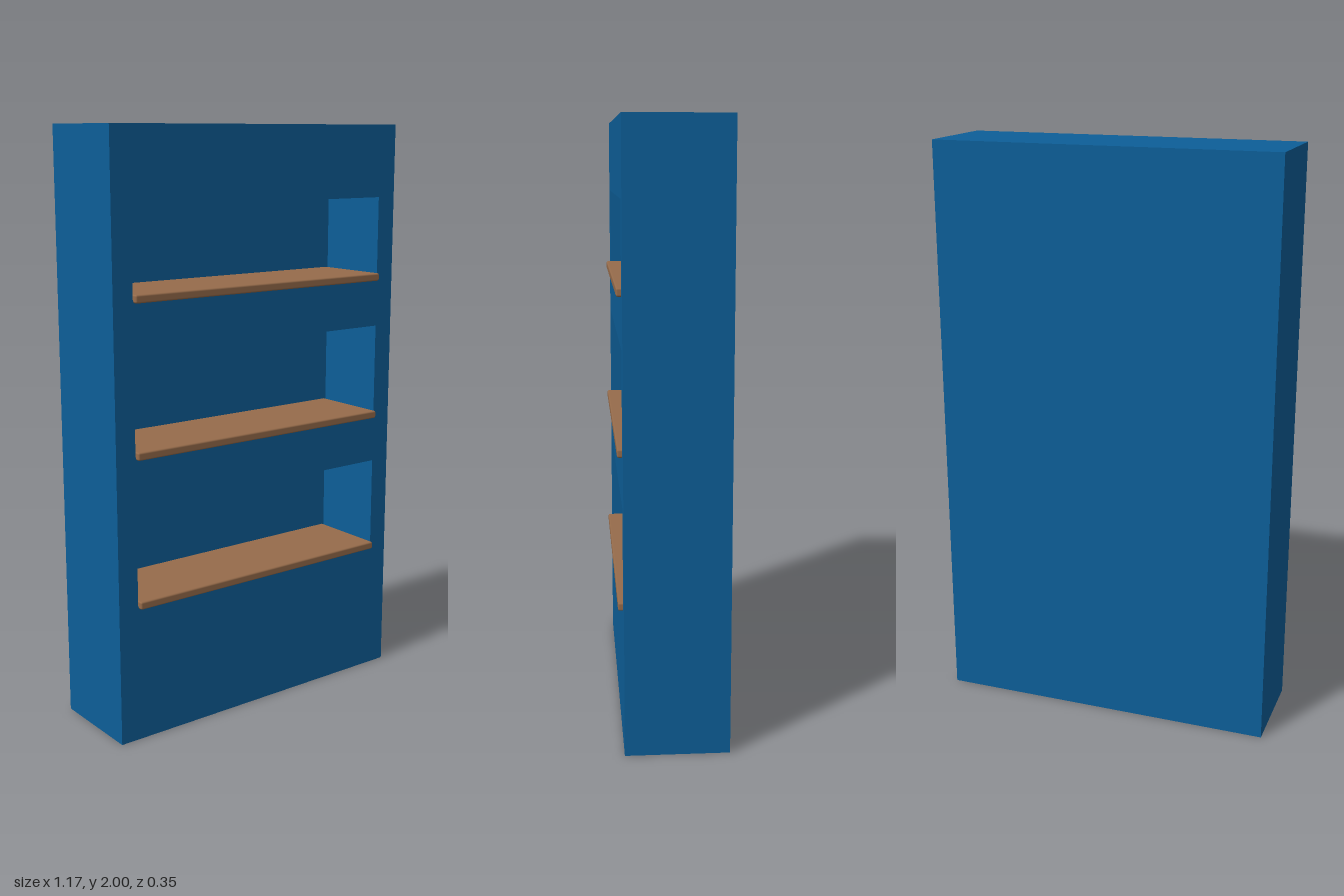
import * as THREE from 'three';
import { mergeGeometries } from 'three/addons/utils/BufferGeometryUtils.js';
import { RoundedBoxGeometry } from 'three/addons/geometries/RoundedBoxGeometry.js';

const W = 1.174, H = 2, BACK = -0.177, FRONT = 0.161;
const NICHE_BACK = -0.104, NICHE_W = 1.03;
// bottom and top of each recess
const NICHES = [[0.47, 0.797], [0.97, 1.297], [1.47, 1.752]];

// Box without its +z face; inward turns it into the lining of a recess
function openBox(w, y0, y1, z0, z1, inward = false) {
  const geo = new THREE.BoxGeometry(w, y1 - y0, z1 - z0);
  geo.translate(0, (y0 + y1) / 2, (z0 + z1) / 2);
  let index = Array.from(geo.index.array).filter((_, i) => i < 24 || i >= 30);
  if (inward) {
    index = index.reverse();
    const n = geo.attributes.normal;
    for (let i = 0; i < n.count; i++) n.setXYZ(i, -n.getX(i), -n.getY(i), -n.getZ(i));
  }
  geo.setIndex(index);
  geo.clearGroups();
  return geo;
}

function rectangle(path, w, y0, y1) {
  path.moveTo(-w / 2, y0);
  path.lineTo(w / 2, y0);
  path.lineTo(w / 2, y1);
  path.lineTo(-w / 2, y1);
  path.closePath();
  return path;
}

export function createModel() {
  const group = new THREE.Group();
  group.name = 'bookcase';
  const blue = new THREE.MeshStandardMaterial({ color: 0x0d5f99 });
  blue.name = 'blue paint';
  const wood = new THREE.MeshStandardMaterial({ color: 0x976c4b });
  wood.name = 'brown wood';

  // Cabinet: outer shell, pierced front face and recess linings
  const face = rectangle(new THREE.Shape(), W, 0, H);
  for (const [y0, y1] of NICHES) face.holes.push(rectangle(new THREE.Path(), NICHE_W, y0, y1));
  const front = new THREE.ShapeGeometry(face).translate(0, 0, FRONT);
  const linings = NICHES.map(([y0, y1]) => openBox(NICHE_W, y0, y1, NICHE_BACK, FRONT, true));
  const cabinet = new THREE.Mesh(mergeGeometries([openBox(W, 0, H, BACK, FRONT), front, ...linings]), blue);
  cabinet.name = 'cabinet';
  group.add(cabinet);

  // Shelf boards with softened edges, protruding slightly at the front
  const shelfBack = NICHE_BACK - 0.008, shelfFront = 0.177;
  const board = new RoundedBoxGeometry(1.026, 0.027, shelfFront - shelfBack, 1, 0.006);
  NICHES.forEach(([y0], i) => {
    const shelf = new THREE.Mesh(board, wood);
    shelf.name = `shelf${i + 1}`;
    shelf.position.set(0, y0 + 0.003, (shelfFront + shelfBack) / 2);
    group.add(shelf);
  });
  return group;
}
